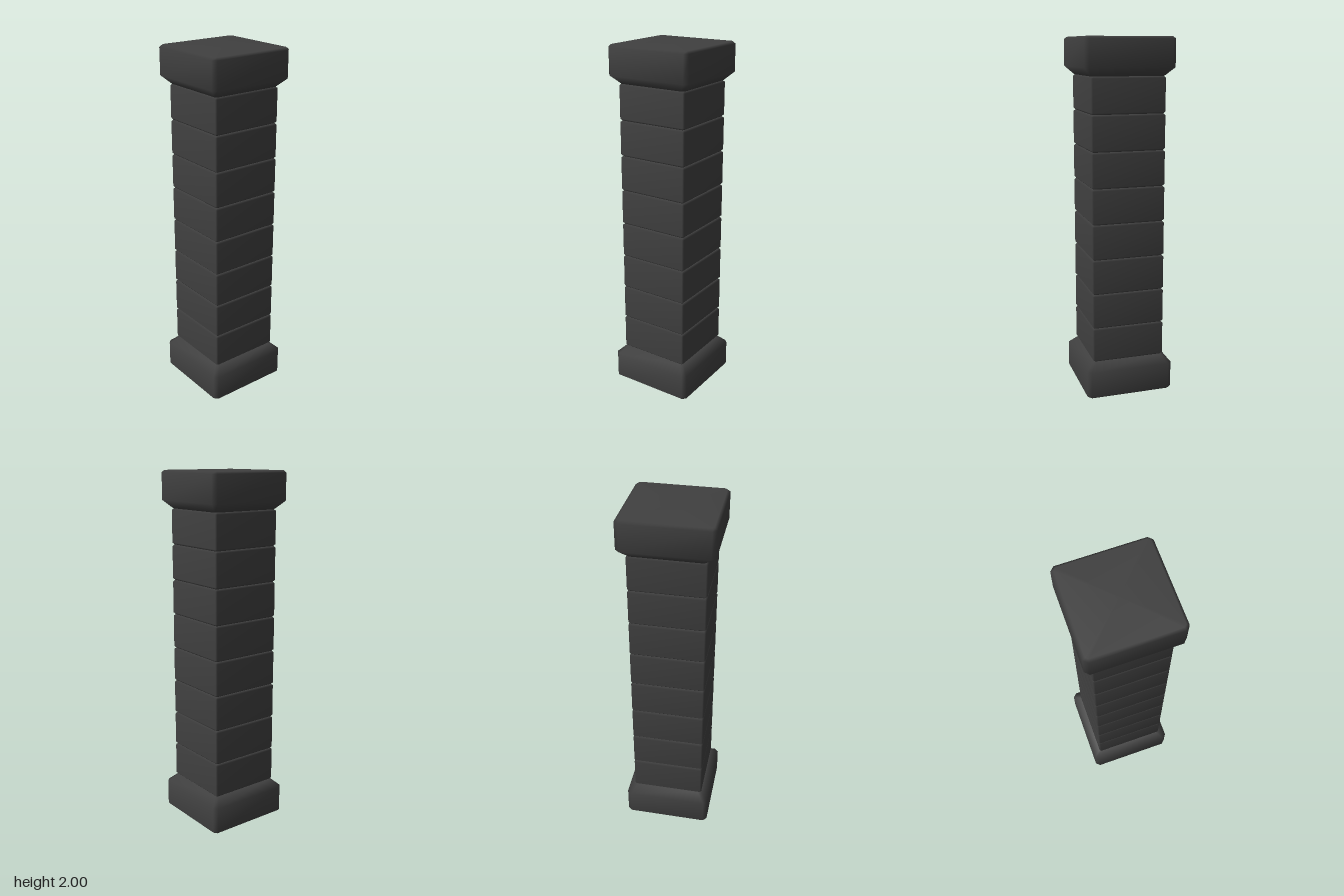
import * as THREE from 'three';

const material = new THREE.MeshStandardMaterial({ color: 0x404040 });

// Closed loft of square sections with cut corners; each ring is [y, half width, corner cut].
function squareLoft(rings) {
  const positions = [], index = [];
  for (const [y, h, c] of rings) {
    const k = h - c;
    for (const [x, z] of [[h, -k], [h, k], [k, h], [-k, h], [-h, k], [-h, -k], [-k, -h], [k, -h]]) {
      positions.push(x, y, z);
    }
  }
  for (let r = 0; r < rings.length - 1; r++) {
    for (let i = 0; i < 8; i++) {
      const a = r * 8 + i, b = r * 8 + (i + 1) % 8;
      index.push(a, a + 8, b, b, a + 8, b + 8);
    }
  }
  // End faces, each a fan about its centre
  const last = (rings.length - 1) * 8, bottom = last + 8, top = last + 9;
  positions.push(0, rings[0][0], 0, 0, rings[rings.length - 1][0], 0);
  for (let i = 0; i < 8; i++) {
    const j = (i + 1) % 8;
    index.push(bottom, i, j, top, last + j, last + i);
  }
  const geometry = new THREE.BufferGeometry();
  geometry.setAttribute('position', new THREE.Float32BufferAttribute(positions, 3));
  geometry.setIndex(index);
  geometry.computeVertexNormals();
  return geometry;
}

export function createModel() {
  const group = new THREE.Group();
  const add = (name, rings) => {
    const mesh = new THREE.Mesh(squareLoft(rings), material);
    mesh.name = name;
    group.add(mesh);
  };

  // Plinth and capital share one profile, flipped about mid height
  const profile = [[0, 0.235, 0.012], [0.012, 0.25, 0.022], [0.16, 0.25, 0.022], [0.205, 0.203, 0.015]];
  add('base', profile);
  add('capital', profile.map(([y, h, c]) => [2 - y, h, c]).reverse());

  // Stack of bevelled shaft blocks
  const count = 8, start = 0.205, height = (2 - 2 * start) / count, bevel = 0.01;
  for (let i = 0; i < count; i++) {
    const y0 = start + i * height, y1 = y0 + height;
    add(`shaftBlock${i + 1}`, [
      [y0, 0.197, 0.005],
      [y0 + bevel, 0.207, 0.008],
      [y1 - bevel, 0.207, 0.008],
      [y1, 0.197, 0.005],
    ]);
  }
  return group;
}
